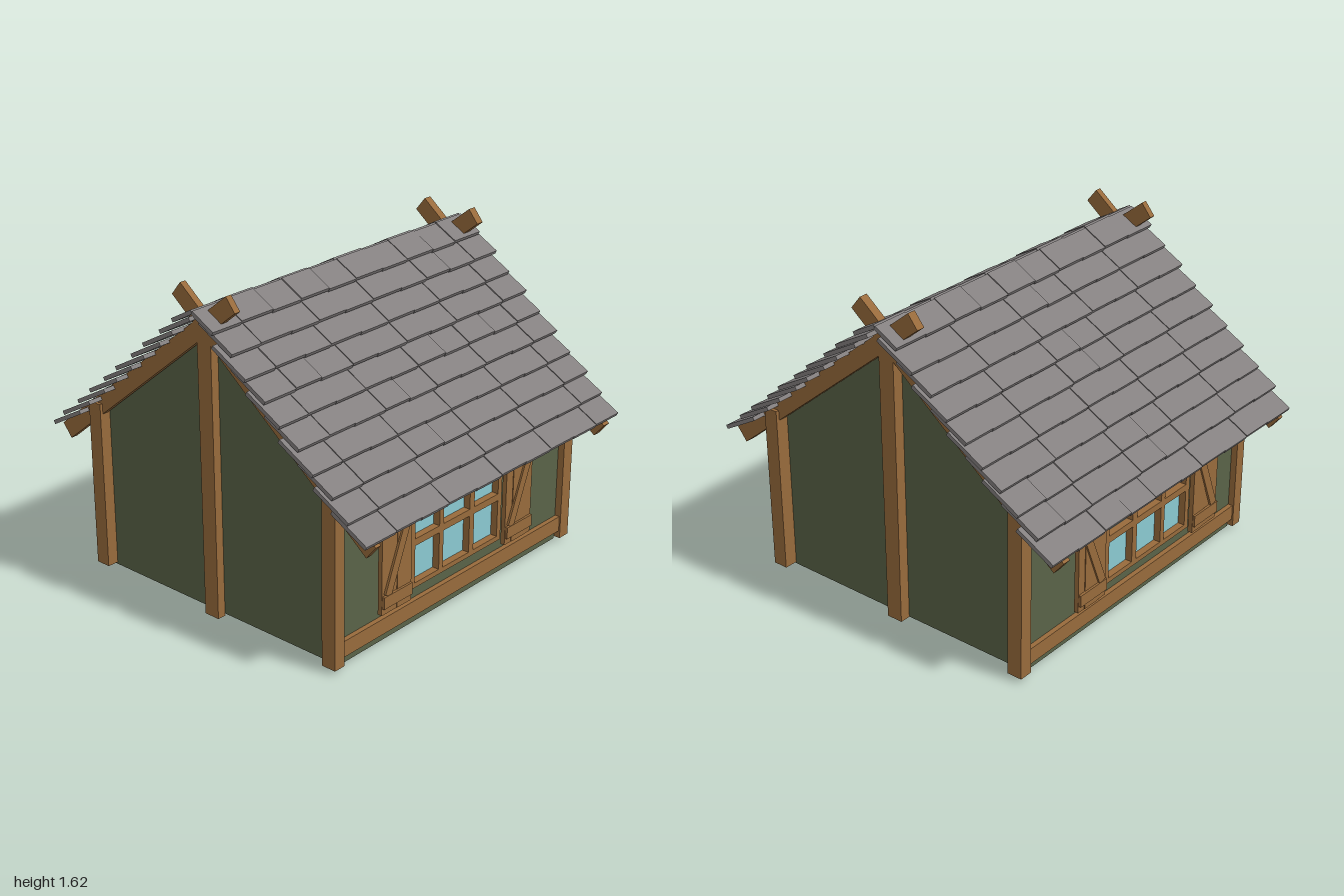
import * as THREE from 'three';

const mat = (name, color) => {
  const m = new THREE.MeshStandardMaterial({ color });
  m.name = name;
  return m;
};

export function createModel() {
  const wood = mat('wood', 0x986b3c);
  const plaster = mat('green plaster', 0x5a6348);
  const slate = mat('grey shingle', 0x848080);
  const glass = mat('window glass', 0x8bcad2);

  const house = new THREE.Group();
  house.name = 'cottage';

  let seed = 7;
  const jitter = (a) => {
    seed = (seed * 16807) % 2147483647;
    return (seed / 2147483647 * 2 - 1) * a;
  };

  const add = (name, geometry, material, parent = house) => {
    const mesh = new THREE.Mesh(geometry, material);
    mesh.name = name;
    parent.add(mesh);
    return mesh;
  };
  // Box given by its limits on each axis
  const box = (name, material, x0, x1, y0, y1, z0, z1, parent) => {
    const mesh = add(name, new THREE.BoxGeometry(x1 - x0, y1 - y0, Math.abs(z1 - z0)), material, parent);
    mesh.position.set((x0 + x1) / 2, (y0 + y1) / 2, (z0 + z1) / 2);
    return mesh;
  };

  // Walls: gabled profile swept along x
  const profile = new THREE.Shape([
    [-0.745, 0.012], [0.745, 0.012], [0.745, 0.84], [0, 1.44], [-0.745, 0.84],
  ].map(([z, y]) => new THREE.Vector2(z, y)));
  const wallGeo = new THREE.ExtrudeGeometry(profile, { depth: 1.645, bevelEnabled: false });
  wallGeo.rotateY(Math.PI / 2).translate(-0.833, 0, 0);
  add('walls', wallGeo, plaster);

  // Timber frame on both gable ends
  const ends = [
    { post: [-0.892, -0.83], beam: [-0.877, -0.832], foot: 0 },
    { post: [0.815, 0.884], beam: [0.811, 0.867], foot: 0.01 },
  ];
  for (const { post, beam, foot } of ends) {
    box('gablePost', wood, beam[0], beam[1], foot, 1.46, -0.045, 0.04);
    for (const s of [1, -1]) {
      box('cornerPost', wood, post[0], post[1], 0.022, 0.88, s * 0.7, s * 0.778);
      // Rafter running past the ridge so the pair crosses
      const rafter = add('rafter', new THREE.BoxGeometry(beam[1] - beam[0] - 0.012, 0.085, 1.457), wood);
      const mid = (beam[0] + beam[1]) / 2;
      rafter.position.set(mid + Math.sign(mid) * 0.006, 1.125, s * 0.4);
      rafter.rotation.x = s * Math.atan2(0.916, 1.134);
    }
  }

  // Long sides: sill beam, window and shutters
  const cols = [[-0.36, -0.185], [-0.155, 0.04], [0.075, 0.258]];
  const rows = [[0.25, 0.44], [0.475, 0.66]];
  const rect = (Type, x0, x1, y0, y1) => new Type([
    new THREE.Vector2(x0, y0), new THREE.Vector2(x1, y0),
    new THREE.Vector2(x1, y1), new THREE.Vector2(x0, y1),
  ]);
  const frame = rect(THREE.Shape, -0.39, 0.287, 0.225, 0.69);
  for (const [x0, x1] of cols) {
    for (const [y0, y1] of rows) frame.holes.push(rect(THREE.Path, x0, x1, y0, y1));
  }
  const frameGeo = new THREE.ExtrudeGeometry(frame, { depth: 0.05, bevelEnabled: false });
  frameGeo.translate(0, 0, -0.025);

  for (const s of [1, -1]) {
    const side = new THREE.Group();
    side.name = s > 0 ? 'frontSide' : 'backSide';
    house.add(side);

    box('sillBeam', wood, -0.83, 0.815, 0.06, 0.14, s * 0.74, s * 0.77, side);
    add('windowFrame', frameGeo, wood, side).position.z = s * 0.765;
    box('windowGlass', glass, -0.375, 0.272, 0.24, 0.675, s * 0.747, s * 0.754, side);

    const shutters = [[-0.61, -0.505, -0.405], [0.302, 0.355, 0.46, 0.508]];
    for (const edges of shutters) {
      const x0 = edges[0], x1 = edges[edges.length - 1];
      for (let i = 0; i < edges.length - 1; i++) {
        box('shutterPlank', wood, edges[i] + 0.001, edges[i + 1] - 0.001,
          0.19, 0.698, s * 0.782, s * (0.805 + 0.002 * (i % 2)), side);
      }
      // Z-shaped bracing
      for (const y of [0.225, 0.615]) {
        box('shutterBatten', wood, x0 + 0.004, x1 - 0.004, y, y + 0.06, s * 0.8, s * 0.818, side);
      }
      const dx = x1 - x0 - 0.07, dy = 0.33;
      const brace = add('shutterBrace', new THREE.BoxGeometry(0.045, Math.hypot(dx, dy), 0.016), wood, side);
      brace.position.set((x0 + x1) / 2, 0.45, s * 0.808);
      brace.rotation.z = -Math.atan2(dx, dy);
    }
  }

  // Roof: overlapping courses of slightly uneven shingles
  const COURSES = 10, COLUMNS = 10, WIDTH = 0.188, TILT = 0.505;
  for (const s of [1, -1]) {
    const roof = new THREE.Group();
    roof.name = s > 0 ? 'frontRoof' : 'backRoof';
    house.add(roof);
    for (let r = 0; r < COURSES; r++) {
      const length = r === COURSES - 1 ? 0.142 : 0.22;
      const left = -0.943 + (r % 2 ? -0.008 : 0.006) + jitter(0.005);
      const seams = [];
      for (let c = 0; c <= COLUMNS; c++) seams.push(left + c * WIDTH + (c % COLUMNS ? jitter(0.012) : 0));
      for (let c = 0; c < COLUMNS; c++) {
        const geo = new THREE.BoxGeometry(seams[c + 1] - seams[c] - 0.001, 0.02, length);
        geo.translate(0, 0.01, -s * length / 2); // origin at the lower edge
        const shingle = add('shingle', geo, slate, roof);
        const lift = (c % 2 ? 0.004 : 0) + jitter(0.001);
        shingle.position.set((seams[c] + seams[c + 1]) / 2, 0.712 + 0.0822 * r + lift, s * (0.988 - 0.0962 * r));
        shingle.rotation.x = s * TILT;
      }
    }
  }
  return house;
}
